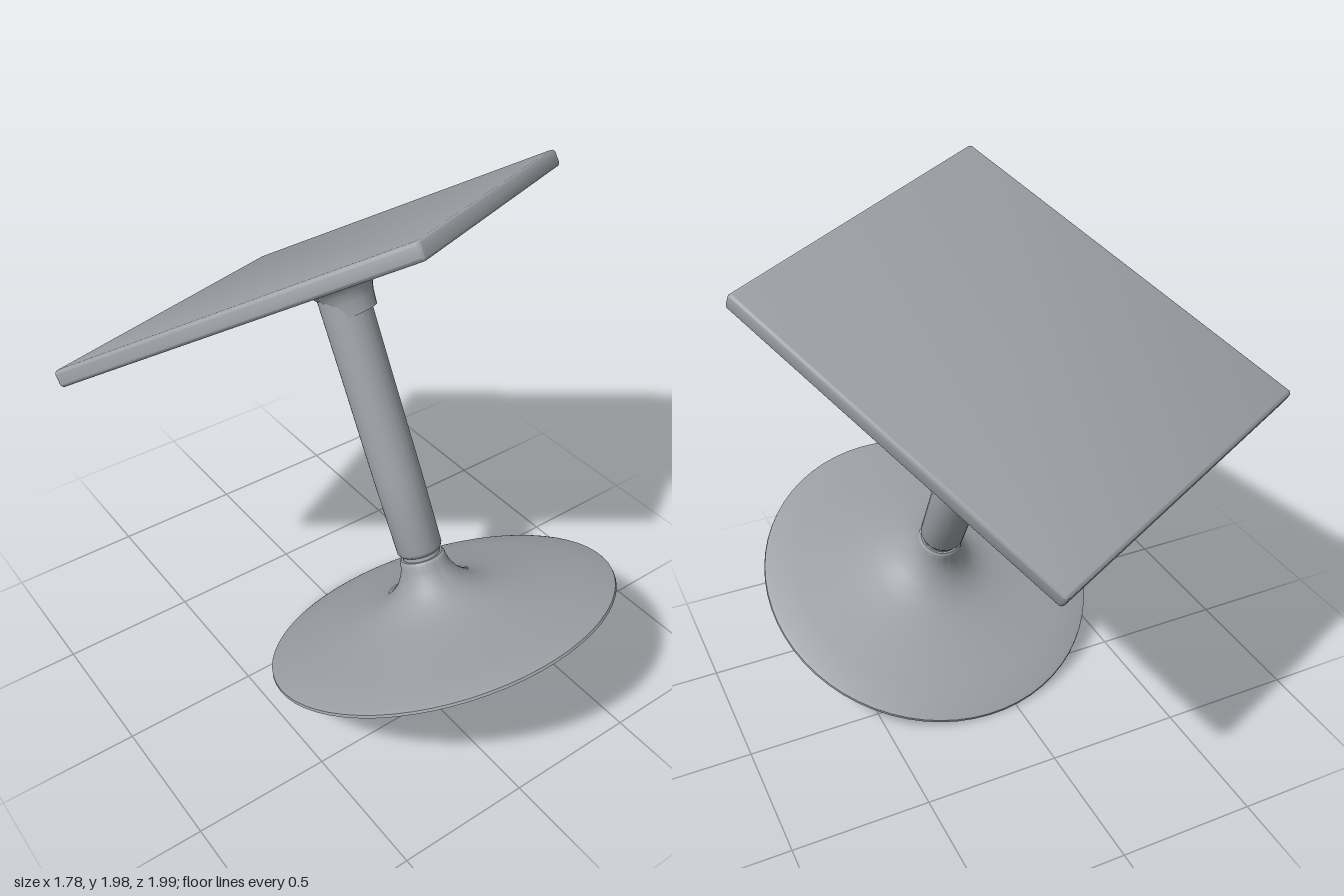
import * as THREE from 'three';
import { toCreasedNormals } from 'three/addons/utils/BufferGeometryUtils.js';
import { RoundedBoxGeometry } from 'three/addons/geometries/RoundedBoxGeometry.js';

const UP = new THREE.Vector3(0, 1, 0);
const v3 = (x, y, z) => new THREE.Vector3(x, y, z);

export function createModel() {
  const grey = new THREE.MeshStandardMaterial({ color: 0x9da1a6 });
  grey.name = 'grey';
  const model = new THREE.Group();
  model.name = 'tippedPedestalTable';

  const add = (name, geometry, parent) => {
    const mesh = new THREE.Mesh(geometry, grey);
    mesh.name = name;
    parent.add(mesh);
    return mesh;
  };
  // Turned part from [radius, height] pairs
  const turned = (points, sides) => toCreasedNormals(
    new THREE.LatheGeometry(points.map(([r, h]) => new THREE.Vector2(r, h)), sides), 0.6);

  // Pedestal: foot and column share one leaning axis
  const axis = v3(-0.043, 0.901, -0.432).normalize();
  const pedestal = new THREE.Group();
  pedestal.name = 'pedestal';
  pedestal.position.set(0.113, 0.292, 0.406);
  pedestal.quaternion.setFromUnitVectors(UP, axis);
  model.add(pedestal);

  // Trumpet-shaped foot with a flat underside and a collar on top
  add('foot', turned([
    [0, 0], [0.65, 0], [0.661, 0.006], [0.659, 0.016], [0.645, 0.022], [0.54, 0.04],
    [0.45, 0.057], [0.34, 0.075], [0.255, 0.094], [0.205, 0.11], [0.16, 0.135],
    [0.12, 0.172], [0.098, 0.21], [0.088, 0.24], [0.085, 0.264], [0.078, 0.272], [0, 0.272],
  ], 64), pedestal);

  // Column, starting with a narrow groove above the collar
  add('column', turned([
    [0.072, 0.262], [0.07, 0.286], [0.08, 0.294], [0.085, 0.305],
    [0.089, 0.6], [0.09, 1.0], [0.092, 1.3], [0.092, 1.4],
  ], 20), pedestal);

  // Upper corners of the slightly irregular top
  const A = v3(-0.895, 1.315, -0.478);
  const B = v3(0.252, 1.163, -0.998);
  const C = v3(0.888, 1.823, -0.015);
  const D = v3(-0.148, 2.0, 0.515);
  const normal = B.clone().sub(D).cross(C.clone().sub(A)).normalize();
  if (normal.y < 0) normal.negate();

  // Slab with rounded edges, stretched over the four corners
  const width = 1.23, thick = 0.062, depth = 1.41;
  const slab = new RoundedBoxGeometry(width, thick, depth, 3, 0.014);
  const pos = slab.attributes.position;
  for (let i = 0; i < pos.count; i++) {
    const u = pos.getX(i) / width + 0.5;
    const v = pos.getZ(i) / depth + 0.5;
    const p = A.clone().lerp(B, u).lerp(D.clone().lerp(C, u), v);
    p.addScaledVector(normal, pos.getY(i) - thick / 2);
    pos.setXYZ(i, p.x, p.y, p.z);
  }
  add('tableTop', toCreasedNormals(slab, 0.6), model);

  // Flared bracket between column and top, square to the top
  const bracket = add('topFlare', turned([
    [0.086, -0.22], [0.094, -0.17], [0.104, -0.138], [0.125, -0.112],
    [0.16, -0.09], [0.205, -0.073], [0.265, -0.056],
  ], 16), model);
  bracket.position.copy(pedestal.position).addScaledVector(axis, 1.43);
  bracket.quaternion.setFromUnitVectors(UP, normal);

  return model;
}
